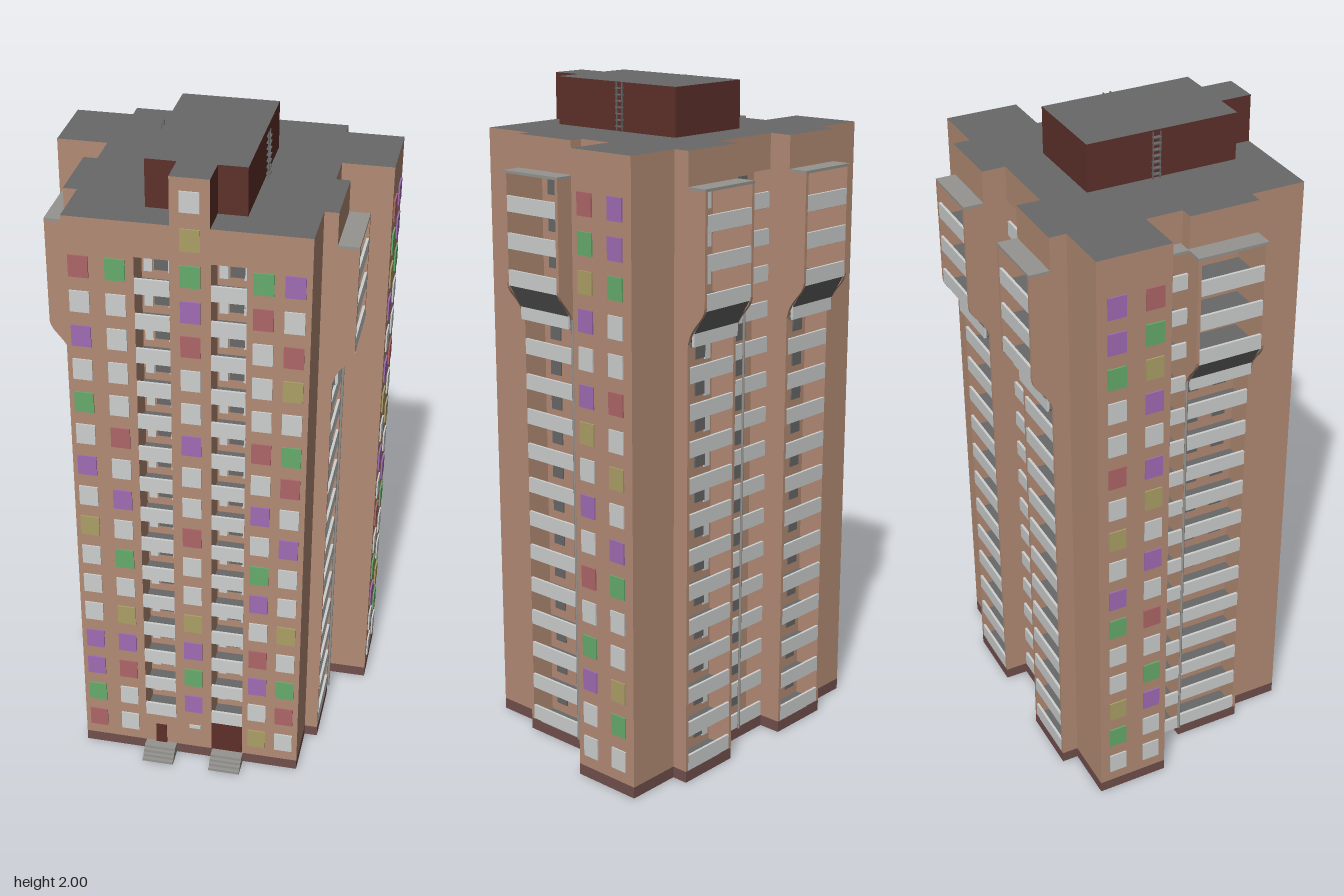
import * as THREE from 'three';

const mat = (name, color, side = THREE.FrontSide) => {
  const m = new THREE.MeshStandardMaterial({ color, side });
  m.name = name;
  return m;
};
const brick = mat('brick', 0xb38b75, THREE.DoubleSide);
const dark = mat('roofGrey', 0x686868);
const plinth = mat('plinth', 0x714f4c, THREE.DoubleSide);
const maroon = mat('maroon', 0x5e302a);
const white = mat('white', 0xcdcfcf);
const concrete = mat('concrete', 0x96948f);
const tint = {
  W: white,
  R: mat('redPane', 0xae6668), P: mat('purplePane', 0xa06cb4),
  G: mat('greenPane', 0x66ac6c), O: mat('olivePane', 0xaca066),
};

const FLOORS = 16, TOP = 1.757, ROOF = 1.86, BASE = 0.035;
const floorY = k => 0.105 + 0.1073 * k;

function box(parent, name, m, w, h, d, x, y, z) {
  const mesh = new THREE.Mesh(new THREE.BoxGeometry(w, h, d), m);
  mesh.position.set(x, y, z);
  mesh.name = name;
  parent.add(mesh);
  return mesh;
}

// Solid prism over a plan outline of [x, z] points
function prism(parent, name, pts, y0, y1, mats) {
  const shape = new THREE.Shape(pts.map(([x, z]) => new THREE.Vector2(x, -z)));
  const geo = new THREE.ExtrudeGeometry(shape, { depth: y1 - y0, bevelEnabled: false });
  geo.rotateX(-Math.PI / 2).translate(0, y0, 0);
  const mesh = new THREE.Mesh(geo, mats);
  mesh.name = name;
  parent.add(mesh);
}

// Hollow wall ring over a plan outline, open at top and bottom
function ring(parent, name, pts, y0, y1, m) {
  const pos = [];
  pts.forEach(([x, z], i) => {
    const [u, w] = pts[(i + 1) % pts.length];
    pos.push(x, y0, z, u, y0, w, u, y1, w, x, y0, z, u, y1, w, x, y1, z);
  });
  const geo = new THREE.BufferGeometry();
  geo.setAttribute('position', new THREE.Float32BufferAttribute(pos, 3));
  geo.computeVertexNormals();
  const mesh = new THREE.Mesh(geo, m);
  mesh.name = name;
  parent.add(mesh);
}

const mirrored = pts => pts.map(([x, z]) => [-x, z]).reverse();

// How far a flared bay stands out at height y
function flareOut(y) {
  const t = THREE.MathUtils.clamp((y - 1.33) / 0.1, 0, 1);
  return 0.06 * t * t * (3 - 2 * t);
}

// Stack of balconies; local +z points outward, z = 0 is the parapet line
function bay(parent, name, o) {
  const { x, z, turn, width, depth, flare = false, first = 0, panes = [], frames = [] } = o;
  const g = new THREE.Group();
  g.name = name;
  g.position.set(x, 0, z);
  g.rotation.y = turn;
  parent.add(g);
  const back = o.back ?? depth;
  for (let k = first; k < FLOORS; k++) {
    const y = floorY(k), out = flare ? flareOut(y - 0.03) : 0;
    box(g, 'parapet', white, width, 0.046, 0.008, 0, y - 0.045, out - 0.004);
    box(g, 'balconySlab', dark, width, 0.008, depth + out - 0.006, 0, y - 0.066, (out - depth) / 2 - 0.003);
    for (const p of panes) box(g, 'balconyWindow', dark, 0.042, 0.055, 0.008, p, y - 0.005, -back);
    for (const p of frames) box(g, 'balconyDoor', white, 0.024, 0.062, 0.008, p, y - 0.008, -back);
  }
  if (!flare) return;
  // Curved side fins, sloping underside and cap
  const s = new THREE.Shape();
  s.moveTo(-0.002, 1.32);
  s.lineTo(0, 1.33);
  s.bezierCurveTo(0.012, 1.39, 0.055, 1.4, 0.06, 1.44);
  s.lineTo(0.06, TOP);
  s.lineTo(-0.002, TOP);
  for (const e of [-1, 1]) {
    const geo = new THREE.ExtrudeGeometry(s, { depth: 0.01, bevelEnabled: false, curveSegments: 8 });
    geo.rotateY(-Math.PI / 2).translate(e * (width / 2 + 0.005) + 0.005, 0, 0);
    const fin = new THREE.Mesh(geo, brick);
    fin.name = 'flareFin';
    g.add(fin);
  }
  const soffit = box(g, 'flareUnderside', dark, width, 0.112, 0.006, 0, 1.385, 0.025);
  soffit.rotation.x = 0.54;
  box(g, 'flareCap', concrete, width + 0.02, 0.008, 0.062, 0, TOP + 0.003, 0.029);
}

export function createModel() {
  const tower = new THREE.Group();
  tower.name = 'apartmentTower';

  // Plan outlines: right half from front to back
  const half = [[0.34, 0.375], [0.34, 0.21], [0.38, 0.21], [0.38, 0], [0.34, 0], [0.34, -0.11], [0.49, -0.11],
    [0.49, -0.33], [0.32, -0.33], [0.32, -0.38], [0.115, -0.38], [0.115, -0.31]];
  const full = [...half, ...mirrored(half)];
  const cut = [[0.34, 0.375], [0.34, 0.21], [0.38, 0.21], [0.38, 0.2], [0.3, 0.2], [0.3, 0.005], [0.38, 0.005],
    [0.38, -0.005], [0.3, -0.005], [0.3, -0.11], [0.49, -0.11], [0.49, -0.33], [0.32, -0.33], [0.32, -0.38],
    [0.31, -0.38], [0.31, -0.3], [0.125, -0.3], [0.125, -0.38], [0.115, -0.38], [0.115, -0.25]];
  const front = [[-0.143, 0.375], [-0.143, 0.29], [-0.046, 0.29], [-0.046, 0.375],
    [0.068, 0.375], [0.068, 0.29], [0.165, 0.29], [0.165, 0.375]];
  ring(tower, 'plinth', full, 0, BASE, plinth);
  ring(tower, 'walls', [...cut, ...mirrored(cut), ...front], BASE, TOP, brick);
  prism(tower, 'atticAndRoof', full, TOP, ROOF, [dark, brick]);

  // Front windows, bottom row first
  const frontRows = ['RW-OW', 'GWPWR', 'PRGPG', 'PPPRW', 'WOOWO', 'WWWPW', 'WGWGW', 'OWRWP',
    'WPWPW', 'PWWWR', 'WRPRG', 'GWWWW', 'WWWWO', 'PWRWR', 'WWPRW', 'RGGGP'];
  const columns = [-0.297, -0.195, 0.011, 0.211, 0.296];
  frontRows.forEach((row, k) => columns.forEach((x, i) => {
    if (tint[row[i]]) box(tower, 'frontWindow', tint[row[i]], 0.056, 0.065, 0.009, x, floorY(k), 0.375);
  }));
  box(tower, 'atticWindow', tint.O, 0.056, 0.065, 0.009, 0.011, 1.822, 0.375);
  box(tower, 'penthouseWindow', white, 0.056, 0.06, 0.009, 0.011, 1.932, 0.375);

  // Wing windows on both sides
  const sideRows = ['WW', 'WG', 'PO', 'GW', 'WW', 'RG', 'WP', 'PW', 'WO', 'OW', 'PR', 'WW', 'PW', 'OG', 'GP', 'RP'];
  for (const s of [-1, 1]) sideRows.forEach((row, k) => [-0.16, -0.272].forEach((z, i) =>
    box(tower, 'sideWindow', tint[row[i]], 0.009, 0.065, 0.054, s * 0.49, floorY(k), z)));

  // Balcony stacks
  for (const s of [-1, 1]) {
    bay(tower, 'frontLoggias', { x: 0.011 + s * 0.1055, z: 0.376, turn: 0, width: 0.097, depth: 0.086,
      first: 1, panes: [0.008], frames: [0.038, -0.03] });
    bay(tower, 'sideFlaredBalconies', { x: s * 0.38, z: 0.1025, turn: s * Math.PI / 2, width: 0.195, depth: 0.08,
      flare: true, panes: [-0.05 * s, 0.04 * s], frames: [0.075 * s] });
    bay(tower, 'sideNarrowBalconies', { x: s > 0 ? 0.34 : -0.385, z: -0.0575, turn: s * Math.PI / 2, width: 0.105,
      depth: s > 0 ? 0.04 : 0.085, panes: [-0.025 * s], frames: [0.025 * s] });
    bay(tower, 'backFlaredBalconies', { x: s * 0.2175, z: -0.38, turn: Math.PI, width: 0.185, depth: 0.08,
      flare: true, panes: [-0.05 * s, 0.04 * s], frames: [0.07 * s] });
  }
  box(tower, 'narrowBalconyCap', concrete, 0.045, 0.008, 0.105, -0.3625, TOP + 0.003, -0.0575);
  bay(tower, 'backCentreBalconies', { x: 0, z: -0.31, turn: Math.PI, width: 0.228, depth: 0.06,
    panes: [-0.06, 0.06], frames: [-0.025, 0.025] });

  // Drain pipes
  for (const [x, z] of [[0, -0.315], [0.384, 0], [-0.384, 0]]) {
    const pipe = new THREE.Mesh(new THREE.CylinderGeometry(0.004, 0.004, 1.7, 8), concrete);
    pipe.name = 'drainPipe';
    pipe.position.set(x, 0.885, z);
    tower.add(pipe);
  }

  // Entrances
  box(tower, 'entranceWall', brick, 0.097, 0.115, 0.01, -0.0945, 0.0925, 0.37);
  box(tower, 'smallDoor', maroon, 0.034, 0.072, 0.009, -0.094, 0.071, 0.375);
  box(tower, 'mainDoor', maroon, 0.097, 0.108, 0.01, 0.1165, 0.089, 0.371);
  box(tower, 'wallPlate', white, 0.036, 0.012, 0.008, 0.015, 0.118, 0.375);
  for (const x of [-0.0945, 0.119]) for (let i = 0; i < 4; i++) {
    const d = 0.03 + 0.011 * i;
    box(tower, 'entranceStep', concrete, 0.098, 0.009, d, x, 0.0315 - 0.009 * i, 0.375 + d / 2);
  }

  // Rooftop plant room with its front stair block
  const plantMats = [maroon, maroon, dark, maroon, maroon, maroon];
  box(tower, 'plantRoom', plantMats, 0.28, 0.14, 0.46, 0.008, 1.93, 0.05);
  box(tower, 'stairBlock', [maroon, maroon, dark, maroon, brick, maroon], 0.11, 0.14, 0.095, 0.011, 1.93, 0.3275);
  for (const x of [-0.142, 0.157]) {
    for (const dz of [-0.011, 0.011]) box(tower, 'ladderRail', dark, 0.004, 0.138, 0.003, x, 1.93, 0.026 + dz);
    for (let i = 0; i < 7; i++) box(tower, 'ladderRung', dark, 0.012, 0.003, 0.024, x, 1.875 + 0.018 * i, 0.026);
  }
  return tower;
}
